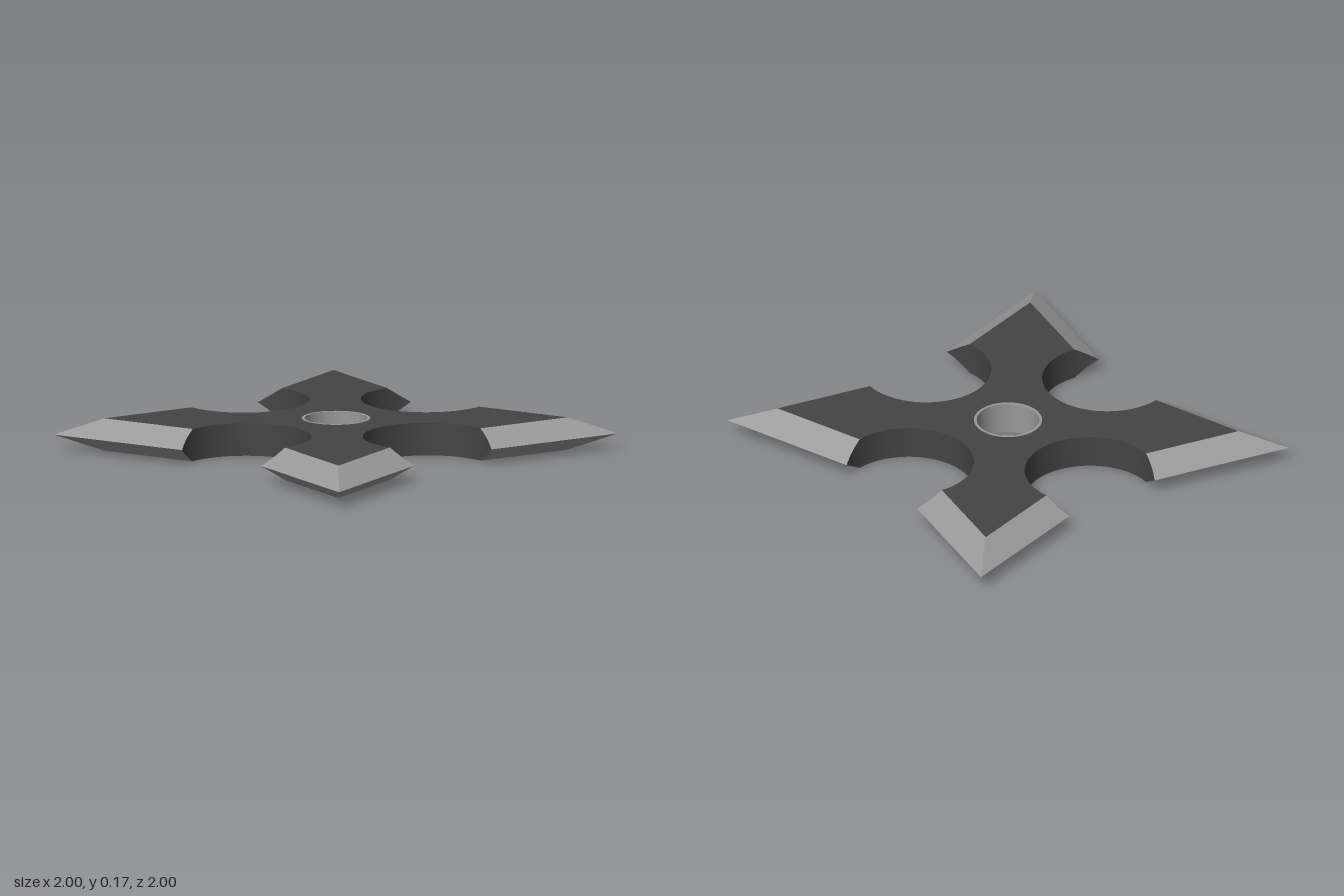
import * as THREE from 'three';
import { toCreasedNormals } from 'three/addons/utils/BufferGeometryUtils.js';

const THICK = 0.166, HALF = THICK / 2;
const CENTRE = 0.645, RADIUS = 0.327;          // round bite on each side
const SLOPE = 0.25, OUTER = 0.75, INNER = 0.615; // blade edge lines: z = SLOPE * x + d
const CORNER = INNER / (1 - SLOPE);
const HOLE = 0.171, RING = 0.157;

// Angle along the bite where it meets the edge line at offset d
const angleAt = (d) =>
  Math.atan(SLOPE) + Math.acos((CENTRE - d) / (RADIUS * Math.hypot(1, SLOPE)));
const A_IN = angleAt(INNER), A_OUT = angleAt(OUTER);

// Point on the bite, with the half thickness of the blade there
function bite(a) {
  const x = RADIUS * Math.sin(a), z = CENTRE - RADIUS * Math.cos(a);
  const d = z - SLOPE * Math.abs(x);
  return { x, z, h: HALF * THREE.MathUtils.clamp((OUTER - d) / (OUTER - INNER), 0, 1) };
}

function geometryFrom(positions, index) {
  const g = new THREE.BufferGeometry();
  g.setAttribute('position', new THREE.Float32BufferAttribute(positions, 3));
  if (index) g.setIndex(index);
  g.computeVertexNormals();
  return g;
}

// Curved wall of a bite, thinning to a point at both tips
function wallGeometry() {
  const angles = [];
  for (let i = 0; i < 8; i++) angles.push(-A_OUT + (i / 8) * (A_OUT - A_IN));
  for (let i = 0; i <= 64; i++) angles.push(-A_IN + (i / 64) * 2 * A_IN);
  for (let i = 1; i <= 8; i++) angles.push(A_IN + (i / 8) * (A_OUT - A_IN));
  const pos = [], index = [];
  angles.forEach((a, i) => {
    const { x, z, h } = bite(a);
    pos.push(x, HALF - h, z, x, HALF + h, z);
    if (i) {
      const k = 2 * (i - 1);
      index.push(k, k + 2, k + 1, k + 2, k + 3, k + 1);
    }
  });
  return geometryFrom(pos, index);
}

// The four sharpened faces beside one bite: left and right, upper and lower
function bevelGeometry() {
  const rim = [];
  for (let i = 0; i <= 8; i++) rim.push(bite(A_IN + (i / 8) * (A_OUT - A_IN)));
  rim.push({ x: 1, z: 1, h: 0 });
  const inner = { x: CORNER, z: CORNER, h: HALF };
  const pos = [];
  for (const sx of [1, -1]) for (const sy of [1, -1]) {
    for (let i = 0; i < rim.length - 1; i++) {
      const tri = [inner, rim[i], rim[i + 1]];
      if (sx * sy < 0) tri.reverse();
      for (const p of tri) pos.push(sx * p.x, HALF + sy * p.h, p.z);
    }
  }
  return geometryFrom(pos);
}

// Flat face outline with the centre hole
function faceShape() {
  const pts = [];
  for (let side = 0; side < 4; side++) {
    const turn = side * Math.PI / 2, c = Math.cos(turn), s = Math.sin(turn);
    const add = (x, z) => pts.push(new THREE.Vector2(x * c + z * s, x * s - z * c));
    for (let i = 0; i <= 64; i++) {
      const p = bite(-A_IN + (i / 64) * 2 * A_IN);
      add(p.x, p.z);
    }
    add(CORNER, CORNER);
  }
  const shape = new THREE.Shape(pts);
  shape.holes.push(new THREE.Path().absarc(0, 0, HOLE, 0, Math.PI * 2, true));
  return shape;
}

export function createModel() {
  const dark = new THREE.MeshStandardMaterial({ name: 'dark steel', color: 0x444444 });
  const bright = new THREE.MeshStandardMaterial({ name: 'polished steel', color: 0x999999 });
  const model = new THREE.Group();
  model.name = 'throwingStar';
  const add = (parent, name, geometry, material) => {
    const mesh = new THREE.Mesh(geometry, material);
    mesh.name = name;
    parent.add(mesh);
    return mesh;
  };

  // Flat upper and lower faces
  const shape = faceShape();
  const top = new THREE.ShapeGeometry(shape, 32).rotateX(-Math.PI / 2);
  add(model, 'topFace', top, dark).position.y = THICK;
  add(model, 'bottomFace', new THREE.ShapeGeometry(shape, 32).rotateX(Math.PI / 2), dark);

  // Four sides, each a bite wall with its sharpened edges
  const wall = wallGeometry(), bevel = bevelGeometry();
  for (let i = 0; i < 4; i++) {
    const side = new THREE.Group();
    side.name = `side${i + 1}`;
    side.rotation.y = i * Math.PI / 2;
    add(side, 'biteWall', wall, dark);
    add(side, 'bladeEdges', bevel, bright);
    model.add(side);
  }

  // Lining of the centre hole
  const profile = [[HOLE, THICK], [RING, THICK], [RING, 0], [HOLE, 0]]
    .map(([r, y]) => new THREE.Vector2(r, y));
  add(model, 'holeRing', toCreasedNormals(new THREE.LatheGeometry(profile, 64), 0.6), bright);

  return model;
}
